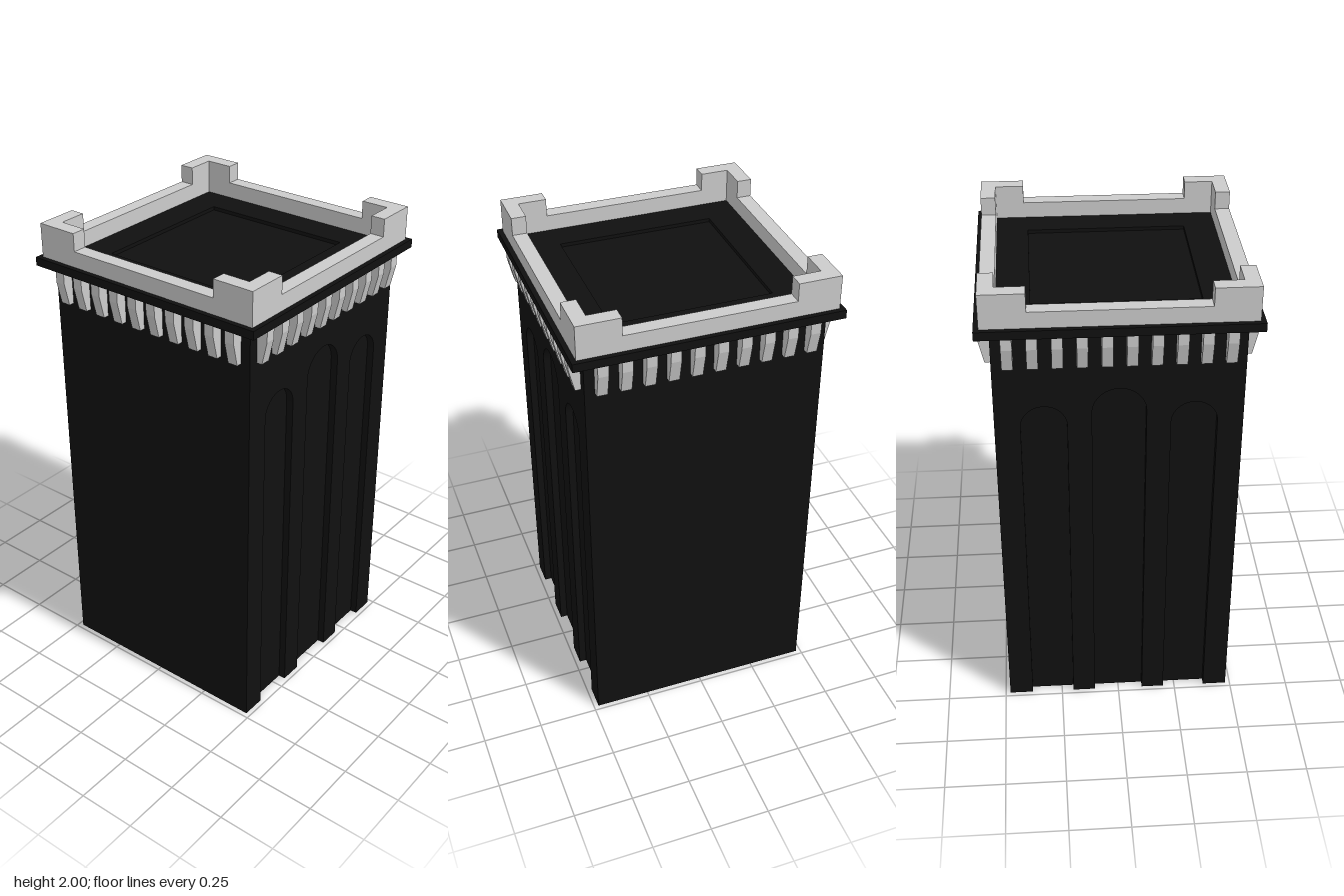
import * as THREE from 'three';

const stone = new THREE.MeshStandardMaterial({ color: 0xcccccc, flatShading: true });
const dark = new THREE.MeshStandardMaterial({ color: 0x101010, flatShading: true });

const HALF = 0.48;        // half width of the shaft
const NICHE = 0.03;       // depth of the arched niches
const DECK_LOW = 1.825, DECK_TOP = 1.86, WALL_TOP = 1.926, TOP = 2;

function add(parent, name, geometry, material) {
  const mesh = new THREE.Mesh(geometry, material);
  mesh.name = name;
  parent.add(mesh);
  return mesh;
}

const extrude = (shape, depth) =>
  new THREE.ExtrudeGeometry(shape, { depth, bevelEnabled: false, curveSegments: 16 });

// Stands a plan shape upright between two heights
const raise = (shape, y0, y1) => extrude(shape, y1 - y0).rotateX(-Math.PI / 2).translate(0, y0, 0);

const square = (h) => [[-h, -h], [h, -h], [h, h], [-h, h]].map(([x, y]) => new THREE.Vector2(x, y));

// Square ring between two half widths
function ring(outer, inner, y0, y1) {
  const shape = new THREE.Shape(square(outer));
  shape.holes.push(new THREE.Path(square(inner).reverse()));
  return raise(shape, y0, y1);
}

// Wall layer with three round-headed niches open at the foot
function nichePanel() {
  const shape = new THREE.Shape();
  shape.moveTo(-HALF, 0);
  for (const [centre, radius, crown] of [[-0.29, 0.09, 1.5], [0, 0.105, 1.57], [0.29, 0.09, 1.5]]) {
    const spring = crown - radius;
    shape.lineTo(centre - radius, 0);
    shape.lineTo(centre - radius, spring);
    shape.absarc(centre, spring, radius, Math.PI, 0, true);
    shape.lineTo(centre + radius, 0);
  }
  shape.lineTo(HALF, 0);
  shape.lineTo(HALF, DECK_LOW + 0.01);
  shape.lineTo(-HALF, DECK_LOW + 0.01);
  return extrude(shape, NICHE).translate(0, 0, HALF - NICHE);
}

// Bracket whose lower front tapers in; profile is drawn outward and up
function corbelGeometry() {
  const profile = new THREE.Shape([
    [0.47, 1.68], [0.503, 1.68], [0.525, 1.775], [0.525, DECK_LOW + 0.005], [0.47, DECK_LOW + 0.005],
  ].map(([x, y]) => new THREE.Vector2(x, y)));
  return extrude(profile, 0.042).translate(0, 0, -0.021).rotateY(-Math.PI / 2);
}

export function createModel() {
  const tower = new THREE.Group();
  tower.name = 'tower';

  // Shaft: its top is the sunken roof floor
  const floor = DECK_TOP - 0.015;
  const core = new THREE.BoxGeometry(2 * (HALF - NICHE), floor, 2 * HALF).translate(0, floor / 2, 0);
  add(tower, 'shaft', core, dark);
  const panel = nichePanel();
  for (const side of [1, -1]) {
    add(tower, side > 0 ? 'leftNicheWall' : 'rightNicheWall', panel, dark).rotation.y = side * Math.PI / 2;
  }

  // Projecting deck with a shallow square recess
  add(tower, 'deck', ring(0.535, 0.325, DECK_LOW, DECK_TOP), dark);

  // Rows of brackets below the deck
  const corbel = corbelGeometry();
  for (let s = 0; s < 4; s++) {
    const row = new THREE.Group();
    row.name = 'corbelRow';
    row.rotation.y = s * Math.PI / 2;
    for (let i = 0; i < 10; i++) add(row, 'corbel', corbel, stone).position.x = (i - 4.5) * 0.093;
    tower.add(row);
  }

  // Parapet with raised L-shaped corners
  const out = 0.515, inn = 0.455, end = 0.34;
  add(tower, 'parapet', ring(out, inn, DECK_TOP, WALL_TOP), stone);
  const corner = raise(new THREE.Shape([
    [out, out], [end, out], [end, inn], [inn, inn], [inn, end], [out, end],
  ].map(([x, y]) => new THREE.Vector2(x, y))), WALL_TOP, TOP);
  for (let s = 0; s < 4; s++) add(tower, 'cornerMerlon', corner, stone).rotation.y = s * Math.PI / 2;

  return tower;
}
